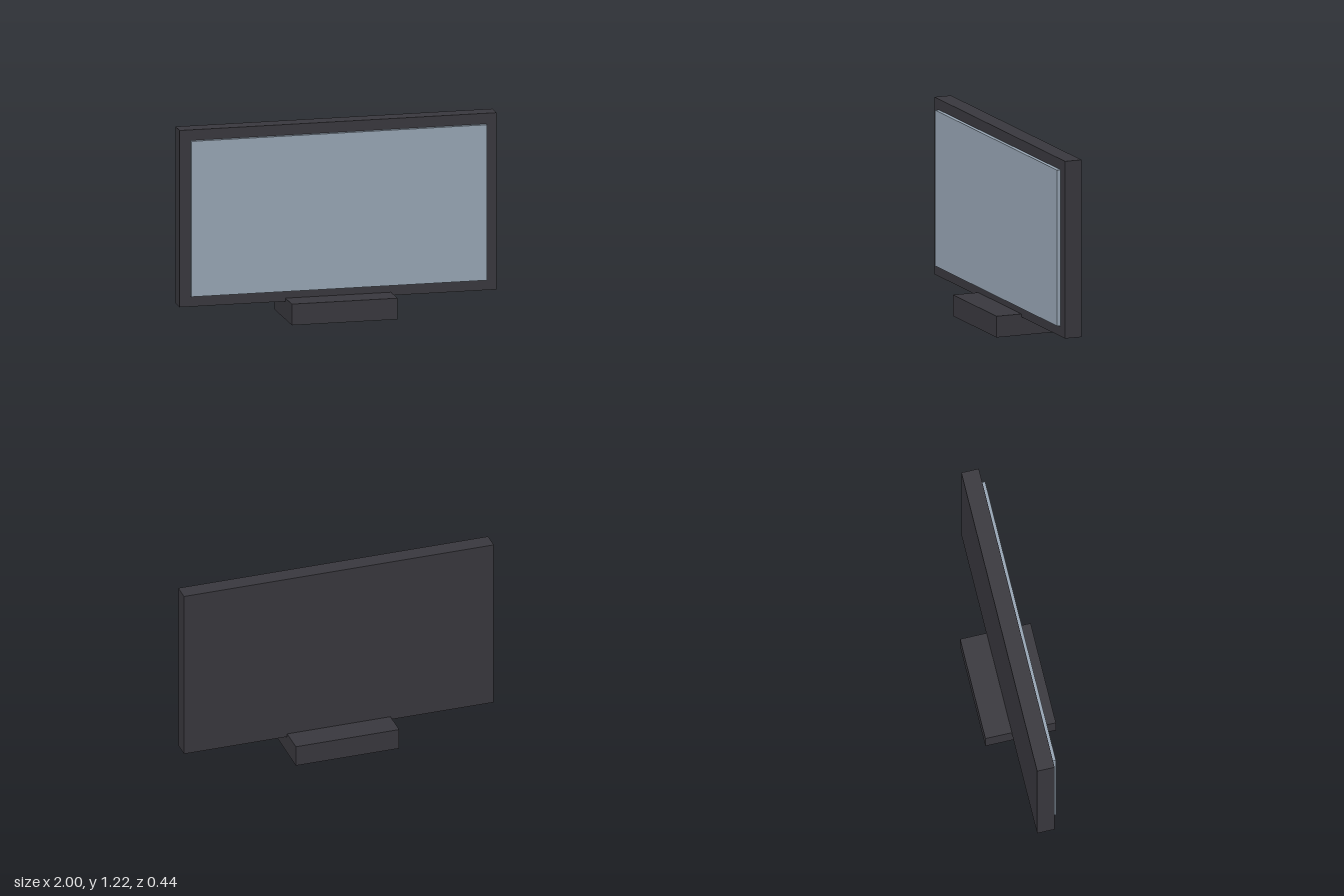
import * as THREE from 'three';

export function createModel() {
  const model = new THREE.Group();
  model.name = 'monitor';

  const casing = new THREE.MeshStandardMaterial({ color: 0x39383e });
  casing.name = 'dark casing';
  const glass = new THREE.MeshStandardMaterial({ color: 0x98a6b5 });
  glass.name = 'blue grey glass';

  // Box given by its lower and upper y, and its back and front z; centred on x
  function addBox(name, material, width, y0, y1, z0, z1) {
    const mesh = new THREE.Mesh(new THREE.BoxGeometry(width, y1 - y0, z1 - z0), material);
    mesh.position.set(0, (y0 + y1) / 2, (z0 + z1) / 2);
    mesh.name = name;
    model.add(mesh);
  }

  // Foot, overlapping the bottom edge of the housing
  addBox('base', casing, 0.667, 0, 0.133, -0.222, 0.222);
  // Flat housing that frames the screen
  addBox('housing', casing, 2, 0.113, 1.224, -0.055, 0.055);
  // Screen slab standing proud of the housing
  addBox('screen', glass, 1.866, 0.18, 1.157, 0.04, 0.079);

  return model;
}
